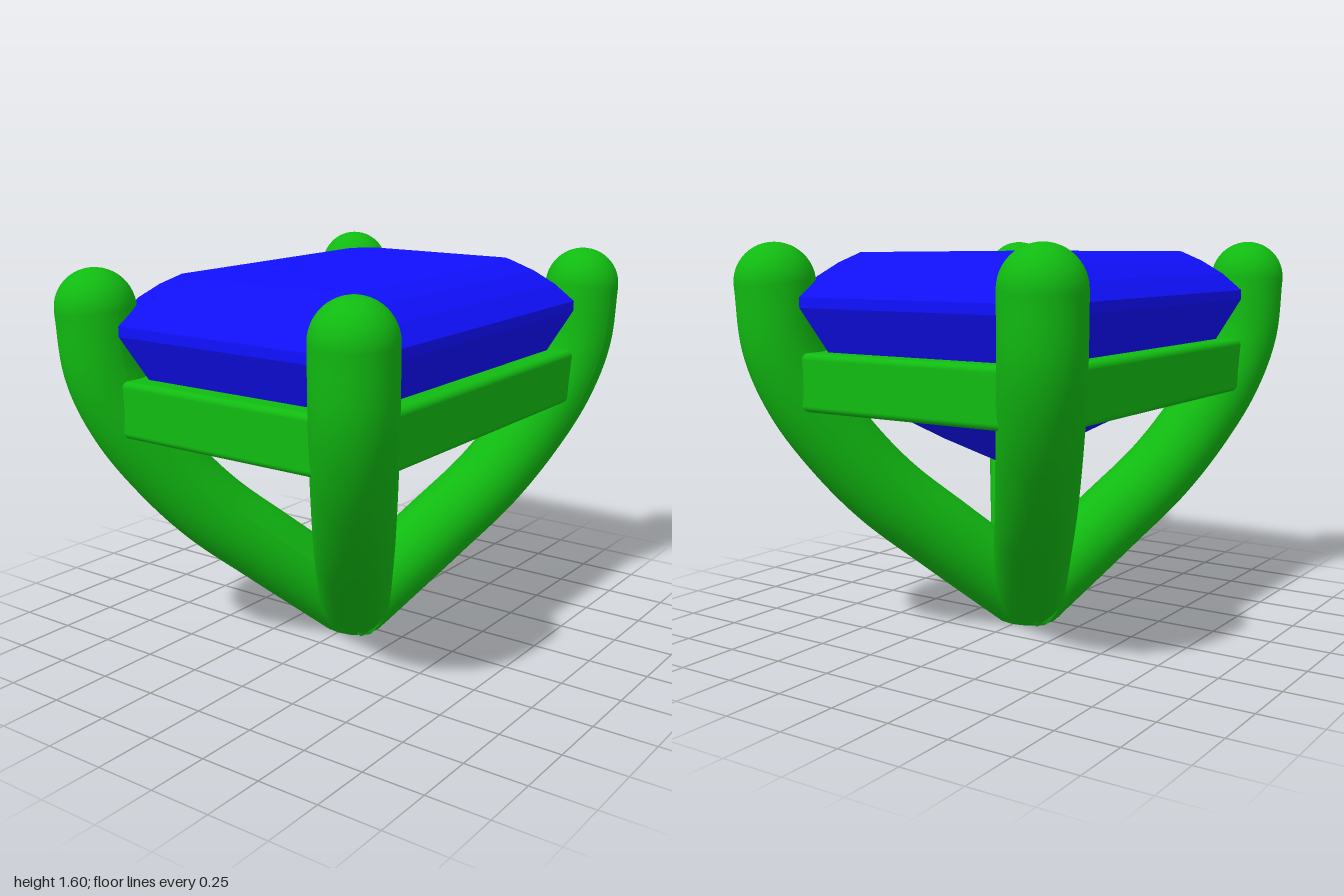
import * as THREE from 'three';
import { RoundedBoxGeometry } from 'three/addons/geometries/RoundedBoxGeometry.js';

const metal = new THREE.MeshStandardMaterial({ color: 0x11bb11 });
const stone = new THREE.MeshStandardMaterial({ color: 0x1010ff, flatShading: true });
const R = 0.155; // prong radius
const DEPTH = 0.845 / 0.605; // prong spread in z relative to x

function add(parent, name, geometry, material, x = 0, y = 0, z = 0) {
  const mesh = new THREE.Mesh(geometry, material);
  mesh.name = name;
  mesh.position.set(x, y, z);
  parent.add(mesh);
  return mesh;
}

// Cut the underside flat at y = 0
function flattenBase(geometry) {
  const p = geometry.attributes.position;
  for (let i = 0; i < p.count; i++) p.setY(i, Math.max(0, p.getY(i)));
  geometry.computeVertexNormals();
  return geometry;
}

// Step-cut stone: stacked eight-sided rings of [half width, half depth, corner cut, y]
function gemGeometry() {
  const rings = [
    [0.42, 0.64, 0.08, 1.555],
    [0.50, 0.72, 0.12, 1.515],
    [0.58, 0.80, 0.16, 1.46],
    [0.65, 0.88, 0.20, 1.39],
    [0.65, 0.88, 0.20, 1.35],
    [0.54, 0.77, 0.17, 1.13],
    [0.36, 0.59, 0.11, 0.935],
    [0.18, 0.41, 0.05, 0.82],
    [0, 0.23, 0, 0.715],
  ];
  const positions = [0, rings[0][3], 0];
  const index = [];
  for (const [w, d, c, y] of rings) {
    const corners = [
      [w, d - c], [w - c, d], [c - w, d], [-w, d - c],
      [-w, c - d], [c - w, -d], [w - c, -d], [w, c - d],
    ];
    for (const [x, z] of corners) positions.push(x, y, z);
  }
  for (let i = 0; i < 8; i++) {
    const j = (i + 1) % 8;
    index.push(0, 1 + j, 1 + i); // table
    for (let r = 0; r < rings.length - 1; r++) {
      const a = 1 + r * 8, b = a + 8;
      index.push(a + i, a + j, b + i, a + j, b + j, b + i);
    }
  }
  const g = new THREE.BufferGeometry();
  g.setAttribute('position', new THREE.Float32BufferAttribute(positions, 3));
  g.setIndex(index);
  const flat = g.toNonIndexed();
  flat.computeVertexNormals();
  return flat;
}

export function createModel() {
  const model = new THREE.Group();
  model.name = 'gemSetting';

  add(model, 'gem', gemGeometry(), stone);

  // Four curved prongs with domed tips
  const profile = [
    [-0.035, 0.05], [0.075, 0.2], [0.22, 0.4], [0.36, 0.6],
    [0.465, 0.8], [0.545, 1.0], [0.592, 1.2], [0.605, 1.44],
  ];
  for (const sx of [-1, 1]) {
    for (const sz of [-1, 1]) {
      const prong = new THREE.Group();
      prong.name = (sz > 0 ? 'front' : 'back') + (sx > 0 ? 'Left' : 'Right') + 'Prong';
      const path = new THREE.CatmullRomCurve3(
        profile.map(([x, y]) => new THREE.Vector3(sx * x, y, sz * x * DEPTH)));
      add(prong, 'prongShaft', flattenBase(new THREE.TubeGeometry(path, 64, R, 40)), metal);
      add(prong, 'prongTip', new THREE.SphereGeometry(R, 40, 24), metal, sx * 0.605, 1.44, sz * 0.845);
      model.add(prong);
    }
  }

  // Rounded foot where the prongs meet
  const foot = new THREE.SphereGeometry(0.17, 40, 24);
  foot.translate(0, 0.12, 0);
  add(model, 'foot', flattenBase(foot), metal);

  // Rails joining neighbouring prongs
  const railY = 1.0675, railH = 0.225, railD = 0.2;
  for (const s of [-1, 1]) {
    add(model, s > 0 ? 'frontRail' : 'backRail',
      new RoundedBoxGeometry(1.12, railH, railD, 4, 0.025), metal, 0, railY, s * 0.78);
    add(model, s > 0 ? 'leftRail' : 'rightRail',
      new RoundedBoxGeometry(railD, railH, 1.56, 4, 0.025), metal, s * 0.555, railY, 0);
  }

  return model;
}
